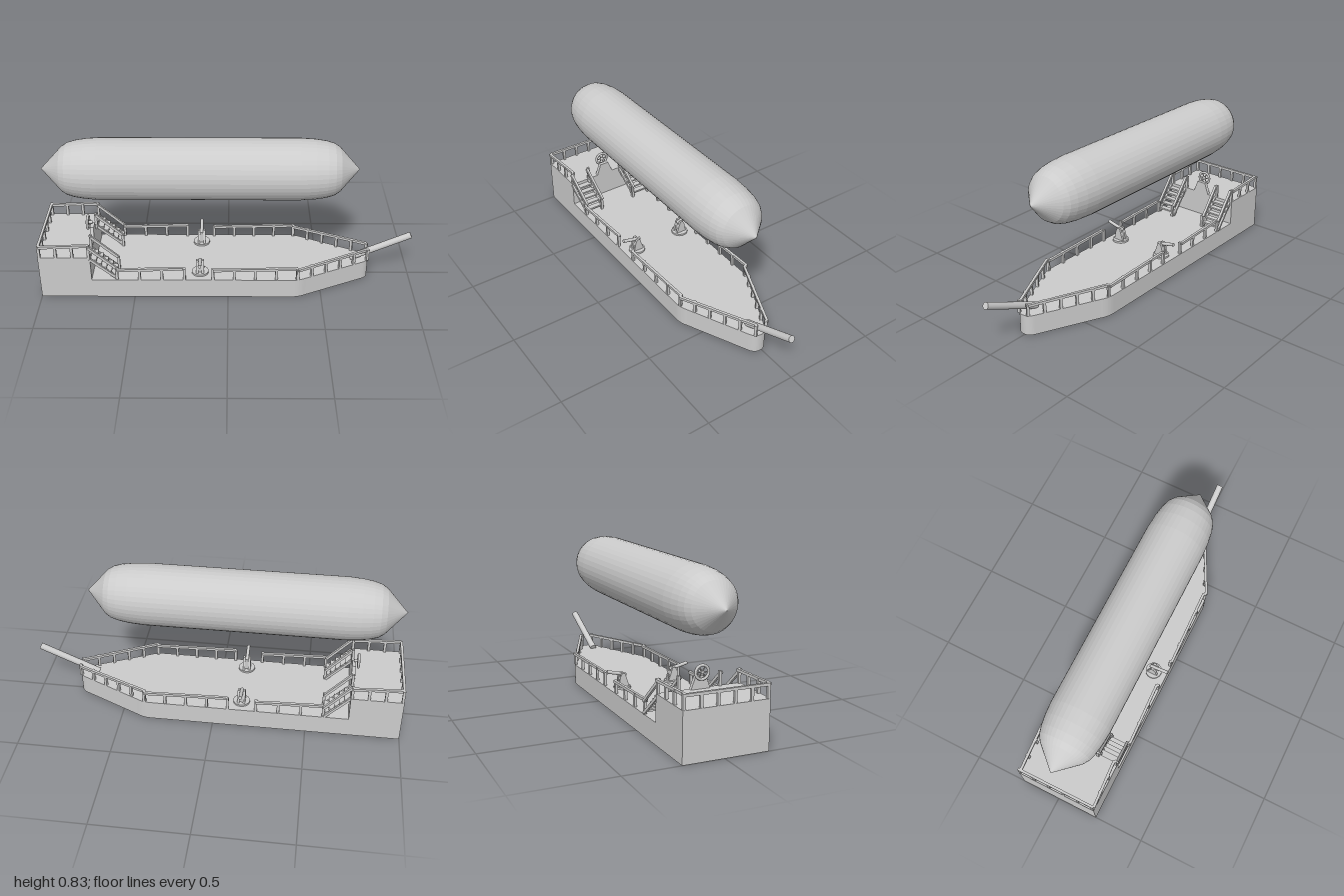
import * as THREE from 'three';

const grey = new THREE.MeshStandardMaterial({ color: 0xcccccc });
const flat = new THREE.MeshStandardMaterial({ color: 0xcccccc, flatShading: true });
const V = (x, y, z) => new THREE.Vector3(x, y, z);

function add(parent, name, geometry, material = grey) {
  const mesh = new THREE.Mesh(geometry, material);
  mesh.name = name;
  parent.add(mesh);
  return mesh;
}

// Square bar between two points; w is across, h is upright
function bar(parent, name, a, b, w = 0.014, h = w) {
  const mesh = add(parent, name, new THREE.BoxGeometry(w, h, a.distanceTo(b)));
  mesh.position.copy(a).add(b).multiplyScalar(0.5);
  mesh.lookAt(b);
  return mesh;
}

function rod(parent, name, a, b, r, sides = 16) {
  const mesh = add(parent, name, new THREE.CylinderGeometry(r, r, a.distanceTo(b), sides));
  mesh.position.copy(a).add(b).multiplyScalar(0.5);
  mesh.quaternion.setFromUnitVectors(V(0, 1, 0), b.clone().sub(a).normalize());
  return mesh;
}

// Handrail on evenly spaced posts; a and b are on the deck
function railing(parent, a, b, bays, height = 0.07) {
  const up = V(0, height - 0.007, 0);
  bar(parent, 'handrail', a.clone().add(up), b.clone().add(up));
  for (let i = 0; i <= bays; i++) {
    const p = a.clone().lerp(b, i / bays);
    const post = add(parent, 'railPost', new THREE.BoxGeometry(0.014, height, 0.014));
    post.position.set(p.x, p.y + height / 2, p.z);
    post.rotation.y = Math.atan2(a.z - b.z, b.x - a.x);
  }
}

function group(parent, name) {
  const g = new THREE.Group();
  g.name = name;
  parent.add(g);
  return g;
}

// Deck gun, pointing outward along +z
function gun(parent) {
  const g = group(parent, 'deckGun');
  const base = add(g, 'gunBase', new THREE.CylinderGeometry(0.045, 0.045, 0.01, 20));
  base.position.y = 0.005;
  const profile = new THREE.Shape([[-0.035, 0], [0.03, 0], [0.018, 0.06], [0.008, 0.08], [-0.008, 0.08]]
    .map(([z, y]) => new THREE.Vector2(-z, y)));
  for (const x of [-0.021, 0.009]) {
    const cheek = add(g, 'gunMount',
      new THREE.ExtrudeGeometry(profile, { depth: 0.012, bevelEnabled: false }));
    cheek.rotation.y = Math.PI / 2;
    cheek.position.x = x;
  }
  const block = add(g, 'gunBlock', new THREE.BoxGeometry(0.02, 0.05, 0.035));
  block.position.y = 0.035;
  rod(g, 'gunBarrel', V(0, 0.068, -0.02), V(0, 0.093, 0.085), 0.009);
  return g;
}

export function createModel() {
  const model = new THREE.Group();
  const ship = group(model, 'airship');
  ship.position.z = 0.008;
  const deck = 0.11, upper = 0.25, half = 0.22, edge = 0.212;

  // Hull plan, straight sides then a tapered, rounded bow
  const plan = new THREE.Shape();
  plan.moveTo(-1, -half);
  plan.lineTo(0.34, -half);
  plan.quadraticCurveTo(0.38, -half, 0.415, -0.2);
  plan.lineTo(0.735, -0.05);
  plan.quadraticCurveTo(0.77, -0.034, 0.77, 0);
  plan.quadraticCurveTo(0.77, 0.034, 0.735, 0.05);
  plan.lineTo(0.415, 0.2);
  plan.quadraticCurveTo(0.38, half, 0.34, half);
  plan.lineTo(-1, half);
  plan.closePath();
  const hull = add(ship, 'hull',
    new THREE.ExtrudeGeometry(plan, { depth: deck, bevelEnabled: false, curveSegments: 8 }));
  hull.rotation.x = -Math.PI / 2;
  const stern = add(ship, 'sternDeck', new THREE.BoxGeometry(0.275, upper - deck, 2 * half));
  stern.position.set(-0.8625, (upper + deck) / 2, 0);

  // Gas envelope with pointed ends
  const envelope = add(ship, 'envelope', new THREE.LatheGeometry([
    [0, -0.975], [0.118, -0.865], [0.137, -0.835], [0.149, -0.795], [0.158, -0.74], [0.163, -0.67],
    [0.163, 0.37], [0.158, 0.45], [0.149, 0.51], [0.137, 0.55], [0.118, 0.58], [0, 0.685],
  ].map(([r, x]) => new THREE.Vector2(r, x)), 40), flat);
  envelope.rotation.z = -Math.PI / 2;
  envelope.position.y = 0.665;

  // Railings, stairs and guns on both sides
  railing(ship, V(-0.992, upper, -edge), V(-0.992, upper, edge), 5, 0.073);
  for (const s of [-1, 1]) {
    const side = group(ship, s > 0 ? 'leftSide' : 'rightSide');
    railing(side, V(-0.992, upper, s * edge), V(-0.732, upper, s * edge), 3, 0.073);
    railing(side, V(-0.59, deck, s * edge), V(-0.232, deck, s * edge), 3);
    railing(side, V(-0.08, deck, s * edge), V(0.37, deck, s * edge), 4);
    railing(side, V(0.37, deck, s * edge), V(0.762, deck, s * 0.03), 5);

    const stairs = group(side, 'stairs');
    for (const z of [0.108, edge]) {
      bar(stairs, 'stairHandrail', V(-0.732, 0.316, s * z), V(-0.59, 0.173, s * z));
      bar(stairs, 'stairStringer', V(-0.728, 0.243, s * z), V(-0.593, 0.115, s * z), 0.012, 0.014);
      for (const [x, y, h] of [[-0.732, upper, 0.073], [-0.59, deck, 0.07]]) {
        const post = add(stairs, 'stairPost', new THREE.BoxGeometry(0.014, h, 0.014));
        post.position.set(x, y + h / 2, s * z);
      }
    }
    for (let i = 0; i < 5; i++) {
      const tread = add(stairs, 'stairTread', new THREE.BoxGeometry(0.032, 0.009, 0.1));
      tread.position.set(-0.708 + i * 0.025, 0.228 - i * 0.0235, s * 0.16);
    }

    const g = gun(side);
    g.position.set(-0.15, deck, s * 0.145);
    if (s < 0) g.rotation.y = Math.PI;
  }

  // Steering wheel on a tapered stand
  const helm = group(ship, 'helm');
  helm.position.set(-0.745, upper, 0);
  const stand = new THREE.Shape([[-0.05, 0], [0.05, 0], [0.026, 0.065], [-0.026, 0.065]]
    .map(([x, y]) => new THREE.Vector2(x, y)));
  const pedestal = add(helm, 'helmStand',
    new THREE.ExtrudeGeometry(stand, { depth: 0.02, bevelEnabled: false }));
  pedestal.rotation.y = Math.PI / 2;
  const wheel = add(helm, 'helmWheel', new THREE.TorusGeometry(0.034, 0.007, 8, 28));
  wheel.rotation.y = Math.PI / 2;
  wheel.position.set(-0.012, 0.084, 0);
  rod(helm, 'helmAxle', V(-0.018, 0.084, 0), V(0.012, 0.084, 0), 0.008, 10);
  for (let i = 0; i < 3; i++) {
    const a = (i * Math.PI) / 3, y = Math.sin(a) * 0.034, z = Math.cos(a) * 0.034;
    rod(helm, 'helmSpoke', V(-0.012, 0.084 - y, -z), V(-0.012, 0.084 + y, z), 0.003, 6);
  }

  // Bowsprit
  rod(ship, 'bowsprit', V(0.67, 0.115, 0.008), V(0.992, 0.262, 0.008), 0.018, 24);
  return model;
}
